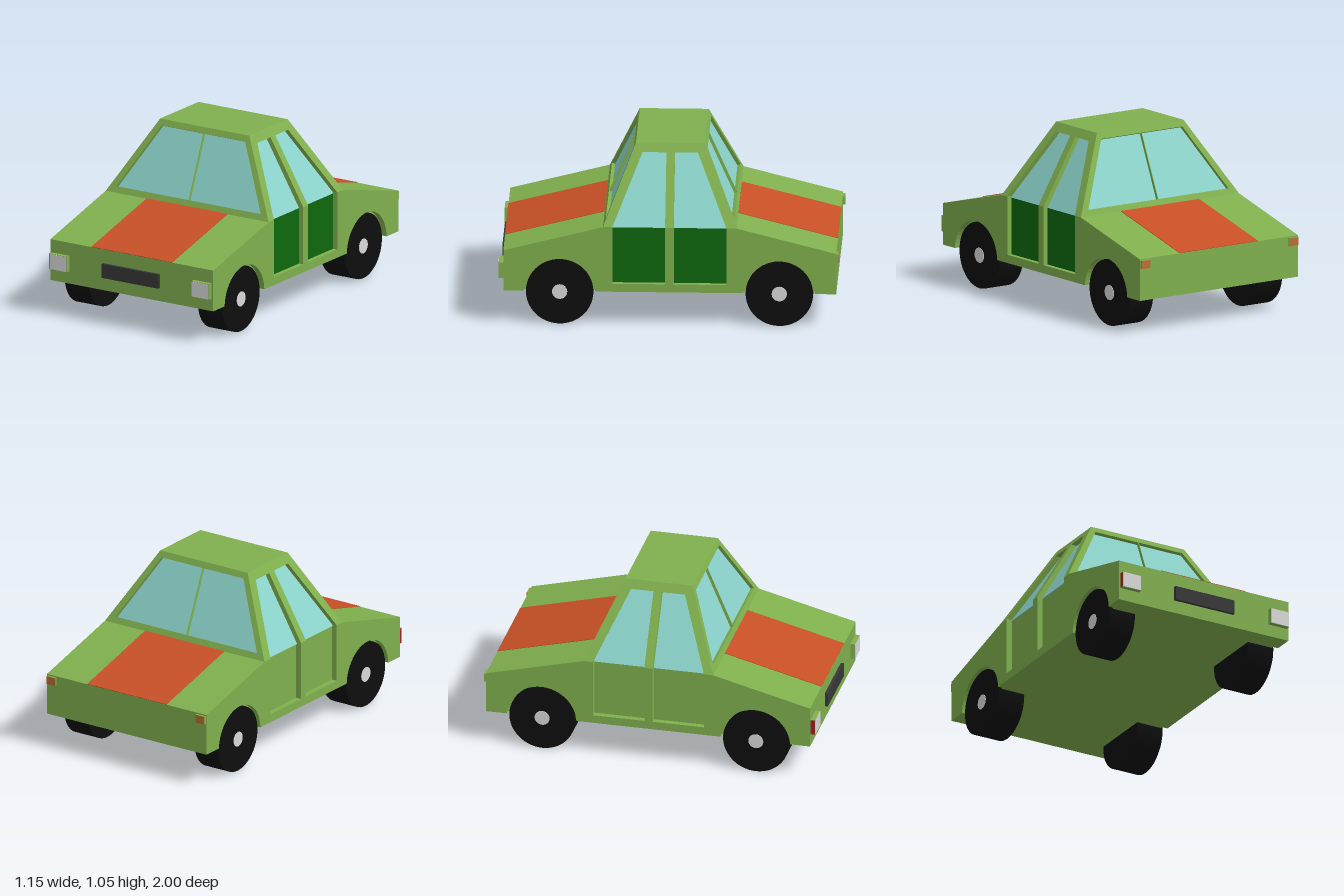
import * as THREE from 'three';

const mat = (name, color) => {
  const m = new THREE.MeshStandardMaterial({ color });
  m.name = name;
  return m;
};

export function createModel() {
  const car = new THREE.Group();
  car.name = 'car';
  const green = mat('body green', 0x80b04e);
  const stripeRed = mat('stripe orange red', 0xc85026);
  const glassBlue = mat('glass', 0x8cd4cc);
  const doorGreen = mat('door dark green', 0x0e680e);
  const black = mat('tyre black', 0x0e0e0e);
  const white = mat('lamp and hub white', 0xdadada);
  const grey = mat('grille grey', 0x383838);
  const amber = mat('tail lamp amber', 0xb87034);
  const markerRed = mat('side marker red', 0xa02020);

  const add = (name, geo, material) => {
    const m = new THREE.Mesh(geo, material);
    m.name = name;
    car.add(m);
    return m;
  };
  const box = (name, material, x, y, z, w, h, d) => {
    const m = add(name, new THREE.BoxGeometry(w, h, d), material);
    m.position.set(x, y, z);
    return m;
  };
  const shapeOf = pts => new THREE.Shape(pts.map(p => new THREE.Vector2(p[0], p[1])));
  const extrude = (shape, depth) => new THREE.ExtrudeGeometry(shape, { depth, bevelEnabled: false });

  // Extrude a (z, y) outline across x, optionally leaning sideways above the belt line
  const BELT = 0.61, ROOF = 1.05, LEAN = 0.26 / 0.44;
  const across = (pts, x0, x1, lean = 0) => {
    const g = extrude(shapeOf(pts.map(([z, y]) => [-z, y])), x1 - x0);
    g.rotateY(Math.PI / 2).translate(x0, 0, 0);
    const p = g.attributes.position;
    for (let i = 0; i < p.count; i++) p.setX(i, p.getX(i) + lean * (p.getY(i) - BELT));
    g.computeVertexNormals();
    return g;
  };

  // Cabin slice between two heights, inset from the outer surface
  const cabinSlice = (y0, y1, insetX, insetZ) => {
    const g = new THREE.BoxGeometry(2, 2, 2).toNonIndexed();
    const p = g.attributes.position;
    for (let i = 0; i < p.count; i++) {
      const y = p.getY(i) > 0 ? y1 : y0;
      const t = (y - BELT) / (ROOF - BELT);
      const z = p.getZ(i) > 0 ? 0.385 - 0.185 * t - insetZ : -0.4 + 0.195 * t + insetZ;
      p.setXYZ(i, Math.sign(p.getX(i)) * (0.575 - 0.26 * t - insetX), y, z);
    }
    g.computeVertexNormals();
    return g;
  };

  // Main body core
  add('bodyCore', across([[0.97, 0.21], [0.97, 0.46], [0.385, BELT], [-0.4, BELT],
    [-0.985, 0.46], [-0.985, 0.21]], -0.54, 0.54), green);
  add('cabinGlass', cabinSlice(0.6, 1.02, 0.035, 0.022), glassBlue);
  add('roof', cabinSlice(1.015, ROOF, 0, 0), green);

  // Side walls with wheel arches and door openings, and the window frames above
  const WHEEL_Z = [0.64, -0.65];
  const arch = zc => Array.from({ length: 25 }, (_, i) => {
    const a = Math.PI - 0.05 - (i / 24) * (Math.PI - 0.1);
    return [zc + 0.21 * Math.cos(a), 0.2 + 0.21 * Math.sin(a)];
  });
  const lower = [
    [-0.985, 0.21], ...arch(WHEEL_Z[1]), ...arch(WHEEL_Z[0]), [0.97, 0.21],
    [0.97, 0.46], [0.385, BELT],
    [0.33, BELT], [0.33, 0.26], [0.02, 0.26], [0.02, BELT],
    [-0.03, BELT], [-0.03, 0.26], [-0.34, 0.26], [-0.34, BELT],
    [-0.4, BELT], [-0.985, 0.46]];
  const upper = [
    [0.385, BELT], [0.2, ROOF], [-0.205, ROOF], [-0.4, BELT],
    [-0.34, BELT], [-0.165, 1], [-0.03, 1], [-0.03, BELT],
    [0.02, BELT], [0.02, 1], [0.16, 1], [0.33, BELT]];
  for (const [side, s] of [['left', 1], ['right', -1]]) {
    const x0 = s > 0 ? 0.54 : -0.575;
    add(side + 'SideWall', across(lower, x0, x0 + 0.035), green);
    add(side + 'WindowFrame', across(upper, x0, x0 + 0.035, -s * LEAN), green);
  }

  // Coloured door panels on one side
  box('frontDoorPanel', doorGreen, 0.542, 0.43, 0.175, 0.006, 0.34, 0.31);
  box('rearDoorPanel', doorGreen, 0.542, 0.43, -0.185, 0.006, 0.34, 0.31);

  // Windscreen and rear window frames with a fine centre divider
  for (const [name, dir, zBase, run] of [['windscreen', 1, 0.385, 0.185], ['rearWindow', -1, -0.4, 0.195]]) {
    const tilt = Math.atan(run / 0.44), k = 1 / Math.cos(tilt);
    const frame = shapeOf([[-0.575, 0], [0.575, 0], [0.315, 0.44 * k], [-0.315, 0.44 * k]]);
    frame.holes.push(shapeOf([[-0.51, 0.035 * k], [-0.295, 0.405 * k], [0.295, 0.405 * k], [0.51, 0.035 * k]]));
    const g = extrude(frame, 0.02).translate(0, 0, -0.02);
    const bar = new THREE.BoxGeometry(0.003, 0.37 * k, 0.018).translate(0, 0.22 * k, -0.011);
    for (const [part, geo] of [['Frame', g], ['Divider', bar]]) {
      geo.rotateX(-tilt);
      if (dir < 0) geo.rotateY(Math.PI);
      geo.translate(0, BELT, zBase);
      add(name + part, geo, green);
    }
  }

  // Broad stripe over bonnet and boot
  const slope = Math.atan(0.15 / 0.585);
  box('bonnetStripe', stripeRed, 0, 0.535, 0.6775, 0.57, 0.006, 0.603).rotation.x = slope;
  box('bootStripe', stripeRed, 0, 0.535, -0.6925, 0.57, 0.006, 0.603).rotation.x = -slope;

  // Lamps and grille
  for (const s of [1, -1]) {
    box('headlampHousing', green, s * 0.502, 0.333, 0.982, 0.124, 0.096, 0.032);
    box('headlampFace', white, s * 0.502, 0.333, 0.998, 0.12, 0.092, 0.004);
    box('tailLampHousing', green, s * 0.538, 0.427, -0.99, 0.064, 0.05, 0.016);
    box('tailLampFace', amber, s * 0.538, 0.427, -0.998, 0.062, 0.048, 0.004);
  }
  box('sideMarker', markerRed, -0.565, 0.333, 0.982, 0.003, 0.09, 0.03);
  box('grille', grey, 0, 0.333, 0.977, 0.4, 0.086, 0.022);

  // Wheels with hub caps
  for (const z of WHEEL_Z) {
    for (const [s, xOut] of [[1, 0.55], [-1, -0.562]]) {
      const tyre = new THREE.CylinderGeometry(0.198, 0.198, 0.172, 48).rotateZ(Math.PI / 2);
      add('wheel', tyre, black).position.set(xOut - s * 0.086, 0.2, z);
      const hub = new THREE.CylinderGeometry(0.045, 0.045, 0.006, 24).rotateZ(Math.PI / 2);
      add('hubCap', hub, white).position.set(xOut, 0.2, z);
    }
  }
  return car;
}
